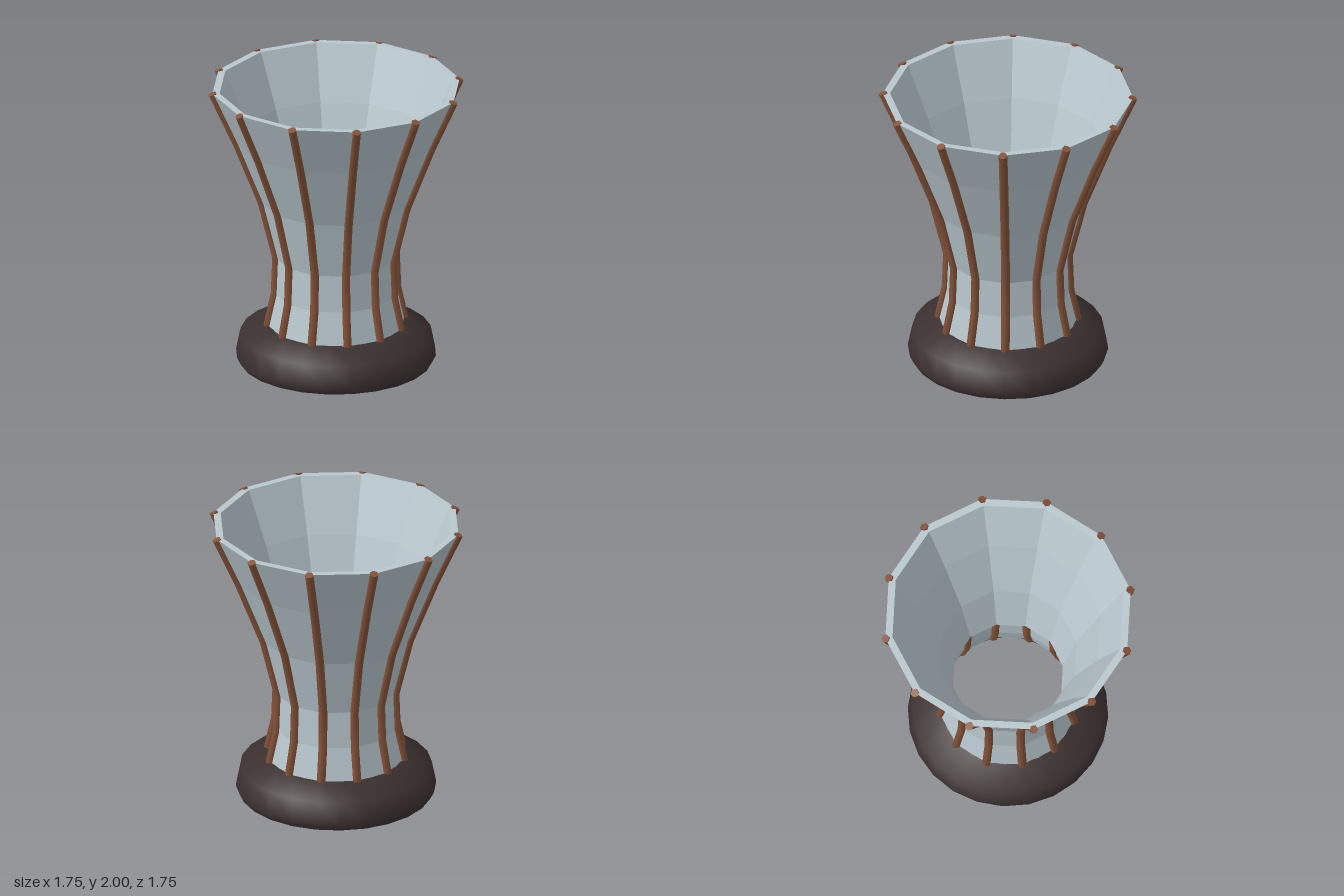
import * as THREE from 'three';

// Outer wall profile [radius, height]; the ribs follow the same line.
const OUTER = [[0.47, 0.275], [0.42, 0.5], [0.41, 0.76], [0.51, 1.17], [0.685, 1.62], [0.85, 1.99]];
const LINER = [[0.8, 1.99], [0.64, 1.62], [0.475, 1.17], [0.38, 0.76]];
const SIDES = 12;

const toPoints = (list) => list.map(([r, y]) => new THREE.Vector2(r, y));

// A hexagonal bar bent along the wall profile at the given angle.
function ribGeometry(angle) {
  const path = OUTER.map(([r, y]) => new THREE.Vector3(r * Math.sin(angle), y, r * Math.cos(angle)));
  const last = path.length - 1;
  const up = new THREE.Vector3(0, 1, 0);
  const turns = path.map((p, i) => {
    const into = p.clone().sub(path[Math.max(i - 1, 0)]).normalize();
    const out = path[Math.min(i + 1, last)].clone().sub(p).normalize();
    // the foot stays level
    const dir = i === 0 ? up : into.add(out).normalize();
    return new THREE.Quaternion().setFromUnitVectors(up, dir);
  });
  const geo = new THREE.CylinderGeometry(0.03, 0.03, 1, 6, last).rotateY(Math.PI / 2);
  const pos = geo.attributes.position;
  const nor = geo.attributes.normal;
  const v = new THREE.Vector3();
  for (let i = 0; i < pos.count; i++) {
    const row = Math.round((pos.getY(i) + 0.5) * last);
    v.set(pos.getX(i), 0, pos.getZ(i)).applyQuaternion(turns[row]).add(path[row]);
    pos.setXYZ(i, v.x, v.y, v.z);
    v.fromBufferAttribute(nor, i).applyQuaternion(turns[row]);
    nor.setXYZ(i, v.x, v.y, v.z);
  }
  return geo;
}

export function createModel() {
  const model = new THREE.Group();
  model.name = 'ribbedVase';

  const glass = new THREE.MeshStandardMaterial({ color: 0xb9c8cf, flatShading: true, side: THREE.DoubleSide });
  glass.name = 'pale blue grey';
  const copper = new THREE.MeshStandardMaterial({ color: 0x85533a });
  copper.name = 'copper brown';
  const dark = new THREE.MeshStandardMaterial({ color: 0x3b3030, side: THREE.DoubleSide });
  dark.name = 'dark brown';

  // Faceted wall with rim and inner liner
  const wall = new THREE.Mesh(new THREE.LatheGeometry(toPoints([...OUTER, ...LINER]), SIDES), glass);
  wall.name = 'wall';
  model.add(wall);

  // Ribs along the wall corners
  const ribs = new THREE.Group();
  ribs.name = 'ribs';
  for (let i = 0; i < SIDES; i++) {
    const rib = new THREE.Mesh(ribGeometry((i / SIDES) * Math.PI * 2), copper);
    rib.name = 'rib';
    ribs.add(rib);
  }
  model.add(ribs);

  // Hollow foot ring, open below
  const foot = [[0.655, 0], [0.68, 0.05], [0.65, 0.2], [0.46, 0.275]];
  const base = new THREE.Mesh(new THREE.LatheGeometry(toPoints(foot), 24), dark);
  base.name = 'base';
  model.add(base);

  return model;
}
